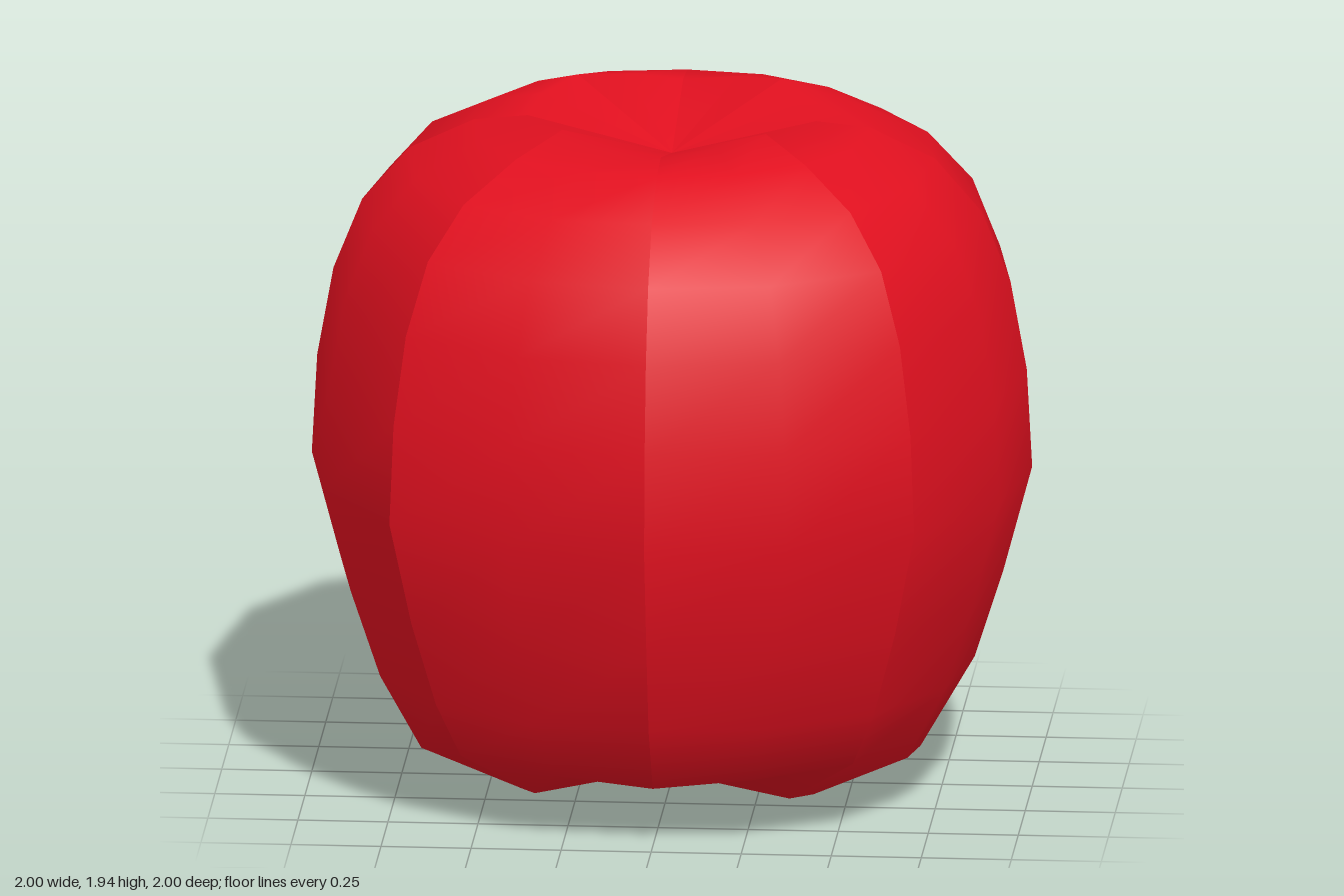
import * as THREE from 'three';

// Rings from the sunken crown to the hollow base: radius, height on the x axis,
// then added radius and height on the diagonals, and added height on the z axis
const RINGS = [
  [0, 1.8, 0, 0, 0],
  [0.4, 1.9, 0, 0.04, 0],
  [0.55, 1.885, 0.02, 0, 0],
  [0.73, 1.8, 0.03, -0.01, 0],
  [0.86, 1.65, 0.03, 0, 0],
  [0.94, 1.45, 0.03, 0, 0],
  [0.985, 1.2, 0.03, 0, 0],
  [1.0, 0.92, 0.03, 0, 0],
  [0.92, 0.62, 0.03, 0, 0],
  [0.84, 0.37, 0.02, 0, 0],
  [0.69, 0.11, 0.08, 0.07, 0.055],
  [0.38, 0, 0.12, -0.015, 0.13],
  [0, 0.2, 0, 0, 0],
];
const LOBES = 8;
const COLUMNS = 2;

function ringPoint([r, y, dr, dyDiagonal, dyZ], angle) {
  const diagonal = Math.sin(2 * angle) ** 2;
  const zShare = Math.sin(angle) ** 2;
  const radius = r + dr * diagonal;
  return [
    radius * Math.cos(angle),
    y + dyDiagonal * diagonal + dyZ * zShare,
    radius * Math.sin(angle),
  ];
}

// One lobe, smooth within itself and creased against its neighbours
function lobeGeometry(start) {
  const positions = [];
  const index = [];
  const row = COLUMNS + 1;
  RINGS.forEach((ring, i) => {
    for (let j = 0; j <= COLUMNS; j++) {
      const angle = start + (j / COLUMNS) * (Math.PI * 2 / LOBES);
      positions.push(...ringPoint(ring, angle));
      if (i === 0 || j === 0) continue;
      const a = (i - 1) * row + j - 1, b = a + 1, c = a + row, d = c + 1;
      if (i > 1) index.push(a, b, d);
      if (i < RINGS.length - 1) index.push(a, d, c);
    }
  });
  const geometry = new THREE.BufferGeometry();
  geometry.setAttribute('position', new THREE.Float32BufferAttribute(positions, 3));
  geometry.setIndex(index);
  geometry.computeVertexNormals();
  return geometry;
}

export function createModel() {
  const model = new THREE.Group();
  model.name = 'lobedFruit';
  const skin = new THREE.MeshStandardMaterial({ color: 0xe0101f, side: THREE.DoubleSide });
  for (let i = 0; i < LOBES; i++) {
    const lobe = new THREE.Mesh(lobeGeometry((i * Math.PI * 2) / LOBES), skin);
    lobe.name = `lobe${i + 1}`;
    model.add(lobe);
  }
  return model;
}
